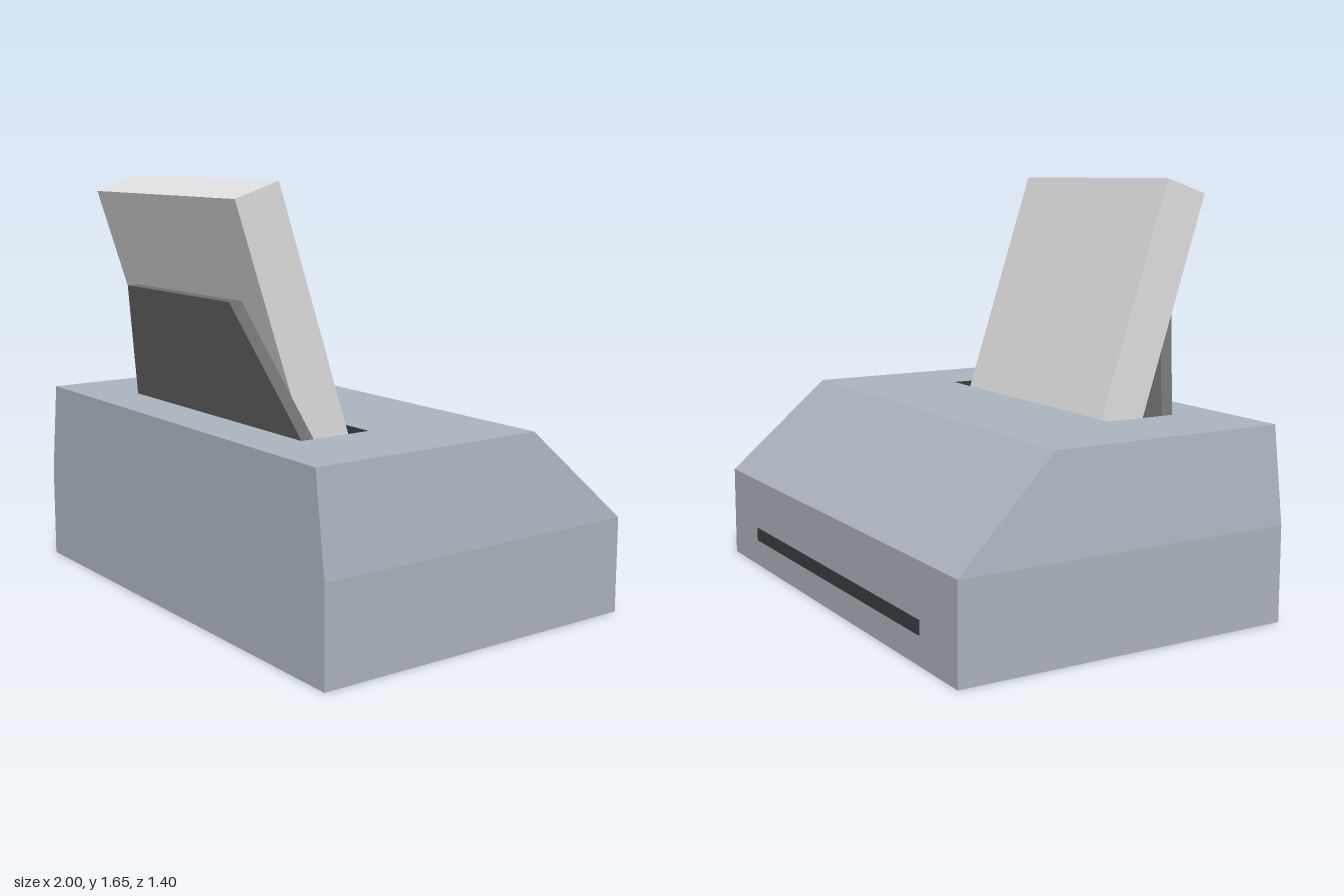
import * as THREE from 'three';

const mat = (name, color) => {
  const m = new THREE.MeshStandardMaterial({ color });
  m.name = name;
  return m;
};

// Rectangular cross-section at height y, counterclockwise seen from above
const ring = (x, y, zBack, zFront) => [[x, y, zFront], [x, y, zBack], [-x, y, zBack], [-x, y, zFront]];

// Flat-shaded surface through a stack of rings, optionally capped at either end
function loft(rings, capStart, capEnd) {
  const pos = [];
  const quad = (a, b, c, d) => pos.push(...a, ...b, ...c, ...a, ...c, ...d);
  for (let r = 0; r < rings.length - 1; r++) {
    for (let i = 0; i < 4; i++) {
      const j = (i + 1) % 4;
      quad(rings[r][i], rings[r][j], rings[r + 1][j], rings[r + 1][i]);
    }
  }
  if (capStart) quad(...[...rings[0]].reverse());
  if (capEnd) quad(...rings[rings.length - 1]);
  const geo = new THREE.BufferGeometry();
  geo.setAttribute('position', new THREE.Float32BufferAttribute(pos, 3));
  geo.computeVertexNormals();
  return geo;
}

export function createModel() {
  const model = new THREE.Group();
  model.name = 'printer';
  const casing = mat('blueGreyCasing', 0xacb4be);
  const paperMat = mat('paperWhite', 0xe0e0e0);
  const trayMat = mat('trayGrey', 0x6e6e6e);
  const slotMat = mat('slotDark', 0x37403f);

  const add = (name, geo, material) => {
    const mesh = new THREE.Mesh(geo, material);
    mesh.name = name;
    model.add(mesh);
    return mesh;
  };

  // Body with tapered upper half, sloped back and an opening in the top
  const rim = ring(0.59, 0.75, 0.19, 0.49);
  add('body', loft([
    ring(1, 0, -0.7, 0.69),
    ring(1, 0.375, -0.7, 0.69),
    ring(0.95, 0.75, -0.29, 0.69),
    rim,
  ], true, false), casing);

  // Walls and floor of the paper feed
  add('feedSlot', loft([rim, ring(0.59, 0.48, 0.19, 0.49)], false, true), slotMat);

  // Leaning support: trapezoid plate sheared forwards
  const outline = new THREE.Shape([
    [-0.59, 0.48], [0.59, 0.48], [0.59, 0.75], [0.37, 1.23], [-0.37, 1.23], [-0.59, 0.75],
  ].map(([x, y]) => new THREE.Vector2(x, y)));
  const support = new THREE.ExtrudeGeometry(outline, { depth: 0.052, bevelEnabled: false });
  const p = support.attributes.position;
  for (let i = 0; i < p.count; i++) {
    p.setZ(i, p.getZ(i) + 0.437 + (p.getY(i) - 0.75) * 0.325);
  }
  support.computeVertexNormals();
  add('paperSupport', support, trayMat);

  // Stack of paper leaning on the support
  const paper = add('paperStack', new THREE.BoxGeometry(1, 1.15, 0.19), paperMat);
  const lean = THREE.MathUtils.degToRad(18.2);
  paper.rotation.x = lean;
  paper.position.set(0, 1.625 - 0.575 * Math.cos(lean), 0.61 - 0.575 * Math.sin(lean));

  // Output slot on the sloped side
  const output = add('outputSlot', new THREE.BoxGeometry(1.47, 0.055, 0.006), slotMat);
  output.position.set(0, 0.138, -0.7);

  return model;
}
